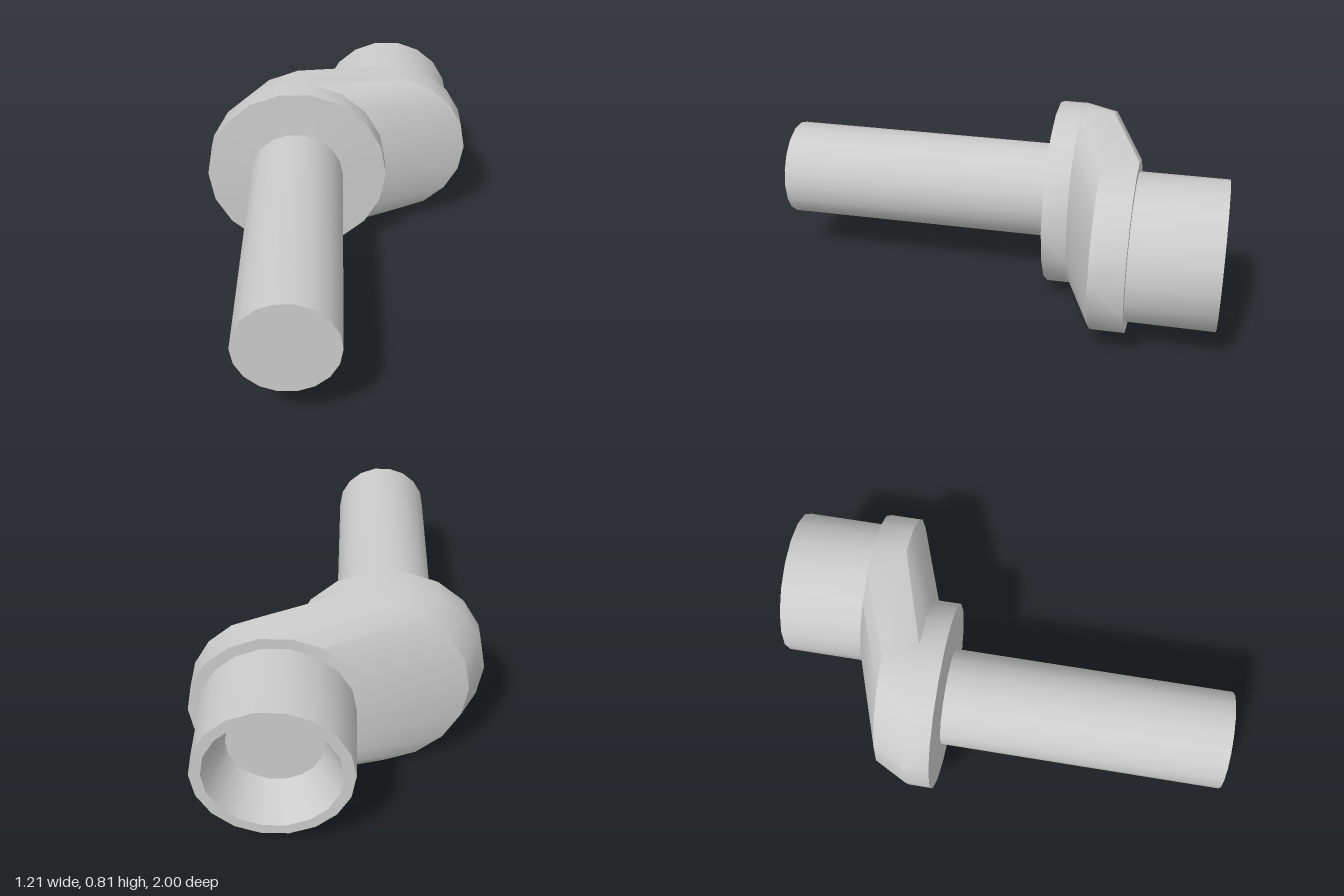
import * as THREE from 'three';
import { toCreasedNormals } from 'three/addons/utils/BufferGeometryUtils.js';

const SIDES = 18;
const CY = 0.408;        // height of both axes
const FRONT_X = -0.195;  // axis of the shaft
const BACK_X = 0.242;    // axis of the socket
const CREASE = 0.56;

const material = new THREE.MeshStandardMaterial({ color: 0xcccccc });

// Turned part along z; profile is a list of [radius, z]
function turned(name, x, profile) {
  const points = profile.map(([r, z]) => new THREE.Vector2(r, z));
  const lathe = new THREE.LatheGeometry(points, SIDES, Math.PI / 2);
  const mesh = new THREE.Mesh(toCreasedNormals(lathe, CREASE), material);
  mesh.name = name;
  mesh.rotation.x = Math.PI / 2;
  mesh.position.set(x, CY, 0);
  return mesh;
}

// Offset body: rings lofted from front to back; each ring gives a
// centre x and radius for its right (+x) half and its left (-x) half
function offsetBody() {
  const front = [FRONT_X, 0.413];
  const back = [BACK_X, 0.363];
  const rings = [
    { z: -0.224, plus: [FRONT_X, 0.2], minus: [FRONT_X, 0.2] },
    { z: -0.235, plus: front, minus: front },
    { z: -0.343, plus: front, minus: front },
    { z: -0.485, plus: back, minus: [FRONT_X + 0.075, 0.413] },
    { z: -0.63, plus: back, minus: back },
    { z: -0.63, plus: [BACK_X, 0.2], minus: [BACK_X, 0.2] },
  ];
  const positions = [];
  const index = [];
  rings.forEach(({ z, plus, minus }, i) => {
    for (let j = 0; j < SIDES; j++) {
      const angle = (j / SIDES) * Math.PI * 2;
      const [x, r] = Math.cos(angle) > 0 ? plus : minus;
      positions.push(x + r * Math.cos(angle), CY + r * Math.sin(angle), z);
      if (i === rings.length - 1) continue;
      const next = (j + 1) % SIDES;
      const a = i * SIDES + j, b = i * SIDES + next;
      const c = b + SIDES, d = a + SIDES;
      // Diagonals mirror between the upper and lower halves
      if (j < SIDES / 2) index.push(a, d, c, a, c, b);
      else index.push(a, d, b, d, c, b);
    }
  });
  const geometry = new THREE.BufferGeometry();
  geometry.setAttribute('position', new THREE.Float32BufferAttribute(positions, 3));
  geometry.setIndex(index);
  const mesh = new THREE.Mesh(toCreasedNormals(geometry, CREASE), material);
  mesh.name = 'offsetBody';
  return mesh;
}

export function createModel() {
  const group = new THREE.Group();
  group.name = 'offsetConnector';

  // Solid shaft pointing forward
  group.add(turned('shaft', FRONT_X, [[0.213, -0.25], [0.213, 1], [0, 1]]));

  group.add(offsetBody());

  // Rear socket with a tapered bore
  group.add(turned('socket', BACK_X, [
    [0, -0.82], [0.195, -0.82], [0.27, -1], [0.315, -1], [0.315, -0.62],
  ]));
  return group;
}
